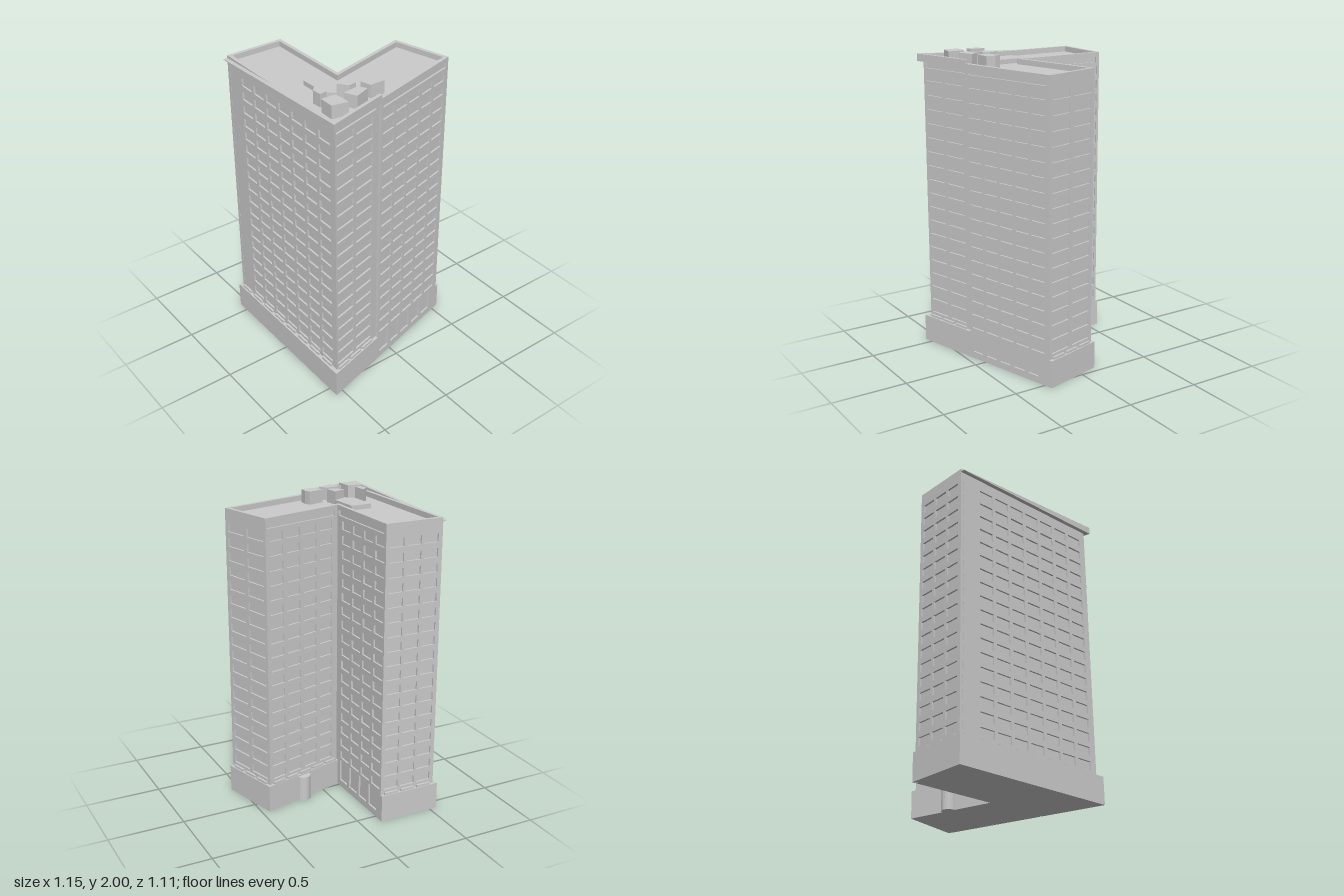
import * as THREE from 'three';

const material = new THREE.MeshStandardMaterial({ color: 0xcccccc, flatShading: true });
const RECESS = 0.012, LEDGE = 0.18, TOP = 1.95;

function add(parent, name, geometry) {
  const mesh = new THREE.Mesh(geometry, material);
  mesh.name = name;
  parent.add(mesh);
  return mesh;
}

// Plan outline given as [x, z] points
const plan = (pts) => pts.map(([x, z]) => new THREE.Vector2(x, -z));

// Upright prism over a plan outline, optionally hollow
function prism(pts, y0, y1, hole) {
  const shape = new THREE.Shape(plan(pts));
  if (hole) shape.holes.push(new THREE.Path(plan(hole)));
  return new THREE.ExtrudeGeometry(shape, { depth: y1 - y0, bevelEnabled: false })
    .rotateX(-Math.PI / 2).translate(0, y0, 0);
}

// Move every side of an outline inward by d, with mitred corners
function inset(pts, d) {
  const normal = (p, q) => {
    const l = Math.hypot(q[0] - p[0], q[1] - p[1]);
    return [-(q[1] - p[1]) / l, (q[0] - p[0]) / l];
  };
  return pts.map((p, i) => {
    const a = normal(pts[(i + pts.length - 1) % pts.length], p);
    const b = normal(p, pts[(i + 1) % pts.length]);
    const k = d / (1 + a[0] * b[0] + a[1] * b[1]);
    return [p[0] - k * (a[0] + b[0]), p[1] - k * (a[1] + b[1])];
  });
}

// Counter-clockwise rectangle corners
const rect = (x0, y0, x1, y1) =>
  [[x0, y0], [x1, y0], [x1, y1], [x0, y1]].map((p) => new THREE.Vector2(...p));

// Facade panel along side i of the tower, pierced by a grid of windows.
// cols, ground and tall are [start, width, pitch, count]
function facade(parent, outer, core, i, { name, cols, ground, tall, band, slot }) {
  const next = (i + 1) % outer.length;
  const [p, q] = [outer[i], outer[next]];
  const u = new THREE.Vector3(q[0] - p[0], 0, q[1] - p[1]);
  const length = u.length();
  u.normalize();
  const up = new THREE.Vector3(0, 1, 0);
  const out = new THREE.Vector3().crossVectors(u, up);
  const frame = new THREE.Matrix4().makeBasis(u, up, out).setPosition(p[0], 0, p[1]);

  const shape = new THREE.Shape(rect(0, tall ? 0 : LEDGE - 0.01, length, TOP));
  const hole = (x0, y0, x1, y1) => shape.holes.push(new THREE.Path(rect(x0, y0, x1, y1)));
  const row = ([start, width, pitch, count], y0, y1) => {
    for (let k = 0; k < count; k++) hole(start + k * pitch, y0, start + k * pitch + width, y1);
  };
  for (let floor = 0; floor < 18; floor++) {
    const y = 0.24 + floor * 0.0935;
    if (cols) row(cols, y - 0.027, y + 0.027);
    if (slot) hole(slot, y - 0.027, slot + 0.004, y + 0.027);
  }
  if (tall) row(tall, 0.045, 0.195);
  if (band) hole(0.012, 1.885, length - 0.025, 1.92);

  // Mitre the panel's back edges so neighbours meet cleanly
  const along = (c) => (c[0] - p[0]) * u.x + (c[1] - p[1]) * u.z;
  const geometry = new THREE.ExtrudeGeometry(shape, { depth: RECESS, bevelEnabled: false })
    .translate(0, 0, -RECESS);
  const pos = geometry.attributes.position;
  for (let k = 0; k < pos.count; k++) {
    if (pos.getZ(k) > -RECESS / 2) continue;
    if (pos.getX(k) < 1e-5) pos.setX(k, along(core[i]));
    else if (pos.getX(k) > length - 1e-5) pos.setX(k, along(core[next]));
  }
  geometry.computeVertexNormals();
  add(parent, name, geometry.applyMatrix4(frame));

  // Heads of the ground floor windows, standing on the ledge
  if (ground) {
    const [start, width, pitch, count] = ground;
    for (let k = 0; k < count; k++) {
      add(parent, 'groundWindowHead', new THREE.BoxGeometry(width, 0.025, 0.014)
        .translate(start + k * pitch + width / 2, 0.1825, 0.007).applyMatrix4(frame));
    }
  }
}

export function createModel() {
  const model = new THREE.Group();
  model.name = 'towerBlock';

  // Plinth corners (outer) and tower corners (set back), counter-clockwise from the front
  const A = [-0.578, 0.551], B = [0.577, 0.556], J = [0.4605, 0.13], C = [0.272, -0.557];
  const D = [-0.13, -0.45], E = [0.02, 0.132], F = [-0.578, 0.135];
  const a = [-0.56, 0.528], b = [0.545, 0.528], j = [0.44, 0.135], c = [0.278, -0.535];
  const d = [-0.11, -0.435], e = [0.04, 0.132], f = [-0.56, 0.135];

  // Plinth, cut back where two facades run down to the ground
  add(model, 'plinth', prism([A, B, J, [0.449, 0.133], [0.266, -0.532], c, C, D, E,
    [0.02, 0.144], [-0.56, 0.147], f, F], 0, LEDGE));

  // Inner core forms the window panes and roof floor
  const tower = [a, b, j, J, c, d, e, f];
  const core = inset(tower, RECESS);
  add(model, 'core', prism(core, LEDGE - 0.02, 1.915));

  // One facade for each side of the tower
  const walls = new THREE.Group();
  walls.name = 'facades';
  model.add(walls);
  [
    { name: 'frontFacade', cols: [0.155, 0.108, 0.1325, 7], ground: [0.023, 0.097, 0.1338, 8], slot: 0.02 },
    { name: 'sideFrontFacade', cols: [0.016, 0.155, 0.18, 2], ground: [0.012, 0.1, 0.122, 3], band: true },
    { name: 'sideStep' },
    { name: 'sideBackFacade', cols: [0.016, 0.11, 0.131, 5], tall: [0.024, 0.09, 0.122, 5], band: true },
    { name: 'backEndFacade', cols: [0.025, 0.16, 0.19, 2], ground: [0.03, 0.1, 0.122, 3] },
    { name: 'wingInnerFacade', cols: [0.03, 0.105, 0.135, 4], ground: [0.03, 0.09, 0.112, 5], band: true },
    { name: 'courtFacade', cols: [0.06, 0.11, 0.138, 4], tall: [0.055, 0.1, 0.13, 4], band: true },
    { name: 'endFacade', cols: [0.025, 0.1, 0.12, 3], ground: [0.025, 0.097, 0.12, 3] },
  ].forEach((options, i) => facade(walls, tower, core, i, options));

  // Parapet around the sunken roof
  const inner = inset([a, b, J, c, d, e, f], 0.024);
  inner[2] = [0.428, 0.125];
  add(model, 'parapet', prism(core, 1.91, TOP, inner));

  // Overhanging cornice: a wedge rising along the front, level along the side
  const front = new THREE.Shape([[-0.56, 1.927], [0.569, 1.927], [0.569, 1.975], [-0.56, 1.931]]
    .map((p) => new THREE.Vector2(...p)));
  add(model, 'frontCornice', new THREE.ExtrudeGeometry(front, { depth: 0.027, bevelEnabled: false })
    .translate(0, 0, 0.528));
  add(model, 'sideCornice', prism([B, J, j, b, [0.545, 0.556]], 1.927, 1.975));

  // Rooftop plant: a low slab and five irregular housings
  add(model, 'roofSlab', prism([[-0.01, 0.205], [0.195, 0.196], [0.235, 0.283], [0.192, 0.342],
    [-0.006, 0.348]], 1.91, 1.945));
  [
    [[0.263, 0.045], [0.303, 0.033], [0.365, 0.036], [0.365, 0.138], [0.294, 0.156]],
    [[0.195, 0.196], [0.288, 0.184], [0.294, 0.237], [0.235, 0.283]],
    [[0.331, 0.209], [0.386, 0.175], [0.424, 0.28], [0.346, 0.317]],
    [[0.173, 0.391], [0.275, 0.385], [0.281, 0.434], [0.216, 0.437]],
    [[0.337, 0.366], [0.451, 0.36], [0.43, 0.465], [0.331, 0.462]],
  ].forEach((pts, i) => add(model, `roofHousing${i + 1}`, prism(pts, 1.91, 2)));

  // Round turret against the wing
  add(model, 'turret', new THREE.CylinderGeometry(0.047, 0.047, 0.17, 20))
    .position.set(-0.055, 0.085, -0.168);

  return model;
}
